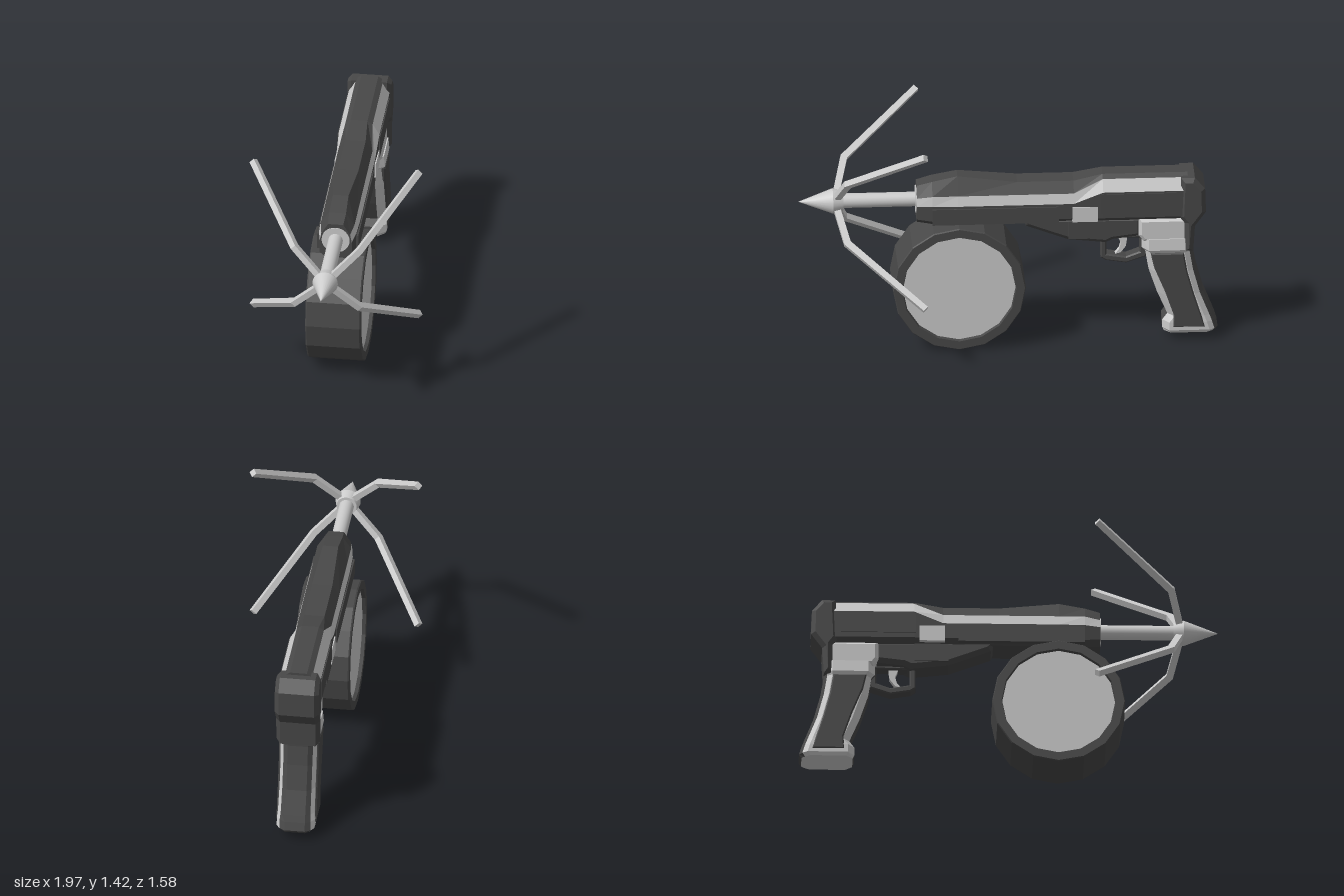
import * as THREE from 'three';

const dark = new THREE.MeshStandardMaterial({ color: 0x484848, flatShading: true, side: THREE.DoubleSide });
const light = new THREE.MeshStandardMaterial({ color: 0xcccccc, flatShading: true, side: THREE.DoubleSide });
const smooth = new THREE.MeshStandardMaterial({ color: 0xcccccc });

export function createModel() {
  const model = new THREE.Group();
  model.name = 'grappleGun';
  // Built with the muzzle towards -x, then turned to lie across the diagonal
  const gun = new THREE.Group();
  gun.name = 'gun';
  gun.rotation.y = 0.665;
  model.add(gun);

  const add = (name, geometry, material, x = 0, y = 0, z = 0) => {
    const mesh = new THREE.Mesh(geometry, material);
    mesh.name = name;
    mesh.position.set(x, y, z);
    gun.add(mesh);
    return mesh;
  };

  // Side profile extruded symmetrically about z = 0, with an optional hole
  const plate = (points, half, bevel = 0, hole = null) => {
    const toVectors = list => list.map(p => new THREE.Vector2(...p));
    const shape = new THREE.Shape(toVectors(points));
    if (hole) shape.holes.push(new THREE.Path(toVectors(hole)));
    const g = new THREE.ExtrudeGeometry(shape, {
      depth: 2 * (half - bevel), bevelEnabled: bevel > 0, bevelSize: bevel,
      bevelThickness: bevel, bevelOffset: -bevel, bevelSegments: 1,
    });
    return g.translate(0, 0, bevel - half);
  };

  // Skin over matching rings; only the listed columns are made
  const loft = (rings, columns, caps = false) => {
    const pos = [];
    const n = rings[0].length;
    const tri = (...pts) => pts.forEach(p => pos.push(...p));
    for (let i = 0; i < rings.length - 1; i++) {
      for (const j of columns) {
        const a = rings[i][j], b = rings[i][(j + 1) % n];
        const d = rings[i + 1][j], c = rings[i + 1][(j + 1) % n];
        tri(a, d, c);
        tri(a, c, b);
      }
    }
    if (caps) {
      const first = rings[0], last = rings[rings.length - 1];
      for (let j = 1; j < n - 1; j++) {
        tri(first[0], first[j], first[j + 1]);
        tri(last[0], last[j + 1], last[j]);
      }
    }
    const g = new THREE.BufferGeometry();
    g.setAttribute('position', new THREE.Float32BufferAttribute(pos, 3));
    g.computeVertexNormals();
    return g;
  };
  const mirrorRing = half => [...half, ...half.slice().reverse().map(([x, y, z]) => [x, y, -z])];

  // Receiver: x, half width, bottom, band low, band high, band top width, top width, top
  const receiver = [
    [-0.59, 0.095, 0.79, 0.9, 0.95, 0.085, 0.045, 1.015],
    [-0.5, 0.11, 0.78, 0.905, 0.965, 0.1, 0.05, 1.04],
    [-0.35, 0.115, 0.78, 0.905, 0.965, 0.1, 0.045, 1.07],
    [0, 0.115, 0.78, 0.905, 0.965, 0.1, 0.06, 1.03],
    [0.33, 0.115, 0.78, 0.905, 0.965, 0.1, 0.06, 1.03],
    [0.5, 0.12, 0.78, 0.975, 1.045, 0.08, 0.05, 1.065],
    [1.0, 0.12, 0.78, 0.975, 1.045, 0.08, 0.05, 1.065],
  ].map(([x, w, bottom, lo, hi, wh, wt, top]) => mirrorRing([
    [x, bottom, w - 0.035], [x, bottom + 0.03, w], [x, lo, w], [x, hi, wh], [x, top, wt],
  ]));
  add('receiver', loft(receiver, [0, 1, 3, 4, 5, 7, 8, 9], true), dark);
  add('receiverBands', loft(receiver, [2, 6]), light);

  // Raised panels on both flanks
  const flank = (name, x0, x1, y0, y1, half, material) =>
    add(name, new THREE.BoxGeometry(x1 - x0, y1 - y0, 2 * half), material, (x0 + x1) / 2, (y0 + y1) / 2);
  flank('frontPanels', -0.5, 0.24, 0.79, 0.89, 0.122, dark);
  flank('greyPanels', 0.32, 0.47, 0.79, 0.885, 0.123, light);
  flank('rearPanels', 0.49, 0.93, 0.84, 0.965, 0.126, dark);

  // Rear cover and the frame under the receiver
  add('rearCover', plate([
    [0.96, 1.05], [1.04, 1.05], [1.1, 0.98], [1.105, 0.83], [1.04, 0.74],
    [1.03, 0.58], [0.98, 0.58], [0.98, 0.76], [0.95, 0.8],
  ], 0.13, 0.025), dark);
  add('gripNeck', plate([
    [0.71, 0.79], [1.0, 0.79], [1.0, 0.64], [0.74, 0.64], [0.71, 0.68],
  ], 0.105, 0.02), light);
  add('lowerFrame', plate([
    [0.03, 0.8], [0.05, 0.75], [0.18, 0.7], [0.3, 0.655], [0.52, 0.63], [0.56, 0.65], [0.73, 0.67], [0.73, 0.8],
  ], 0.09, 0.025), dark);
  flank('frameStep', 0.3, 0.5, 0.67, 0.78, 0.098, dark);

  // Trigger and guard
  add('triggerGuard', plate(
    [[0.49, 0.66], [0.49, 0.52], [0.52, 0.5], [0.64, 0.48], [0.76, 0.52], [0.76, 0.66]], 0.04, 0.008,
    [[0.525, 0.64], [0.72, 0.64], [0.72, 0.55], [0.64, 0.52], [0.525, 0.54]],
  ), dark);
  add('trigger', plate([
    [0.59, 0.65], [0.65, 0.65], [0.64, 0.58], [0.61, 0.54], [0.575, 0.53], [0.6, 0.56], [0.61, 0.6],
  ], 0.018), light);

  // Grip: y, front x, back x, half width
  const grip = [
    [0.66, 0.73, 1.03, 0.112],
    [0.59, 0.73, 1.03, 0.118],
    [0.57, 0.75, 1.03, 0.108],
    [0.45, 0.77, 1.05, 0.106],
    [0.3, 0.82, 1.09, 0.106],
    [0.16, 0.88, 1.145, 0.108],
    [0.12, 0.85, 1.16, 0.112],
    [0.07, 0.85, 1.175, 0.112],
    [0.05, 0.86, 1.16, 0.1],
  ].map(([y, f, b, w]) => mirrorRing([
    [f, y, 0.06], [f + 0.04, y, w], [b - 0.05, y, w], [b - 0.02, y, w - 0.02], [b, y, 0.06],
  ]));
  add('gripFrame', loft(grip, [0, 1, 2, 6, 7, 8], true), light);
  add('gripStraps', loft(grip, [3, 4, 5, 9]), dark);
  add('gripPanels', plate([
    [0.78, 0.57], [0.975, 0.57], [0.995, 0.45], [1.035, 0.3], [1.1, 0.09],
    [0.91, 0.09], [0.915, 0.17], [0.865, 0.32], [0.8, 0.48],
  ], 0.118, 0.008), dark);

  // Cable drum with a recessed disc on each face
  const rim = [
    [0.33, -0.14], [0.335, -0.163], [0.385, -0.163], [0.39, -0.155],
    [0.39, 0.155], [0.385, 0.163], [0.335, 0.163], [0.33, 0.14],
  ].map(p => new THREE.Vector2(...p));
  add('drumRim', new THREE.LatheGeometry(rim, 16).rotateX(Math.PI / 2), dark, -0.345, 0.392);
  add('drumDiscs', new THREE.CylinderGeometry(0.332, 0.332, 0.284, 16).rotateX(Math.PI / 2), light, -0.345, 0.392);

  // Muzzle disc, rod, hub and pointed head
  const round = (name, rFront, rBack, x0, x1, material = smooth) =>
    add(name, new THREE.CylinderGeometry(rBack, rFront, x1 - x0, 24).rotateZ(-Math.PI / 2), material, (x0 + x1) / 2, 0.91);
  round('muzzleDisc', 0.083, 0.083, -0.595, -0.55);
  round('rod', 0.043, 0.043, -1.06, -0.55);
  round('hub', 0.075, 0.06, -1.08, -1.02);
  round('spearHead', 0.001, 0.075, -1.28, -1.08);

  // Four bent prongs around the hub
  const prong = plate([
    [-1.08, 0.04], [-1.022, 0.28], [-0.575, 0.705], [-0.55, 0.68], [-0.985, 0.26], [-1.04, 0.04],
  ], 0.018);
  for (let i = 0; i < 4; i++) {
    add('prong' + (i + 1), prong, light, 0, 0.91).rotation.x = Math.PI / 4 + i * Math.PI / 2;
  }
  return model;
}
